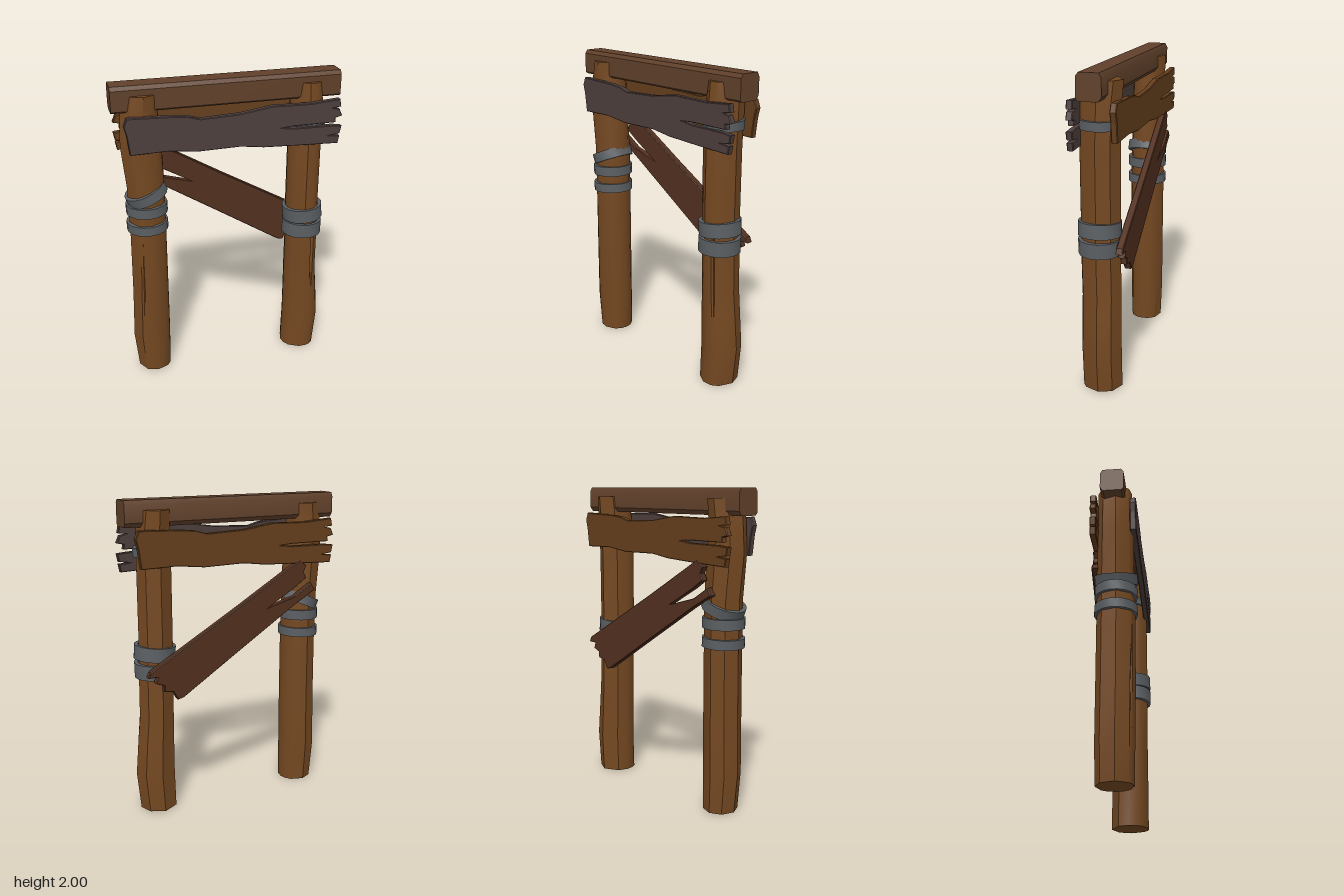
import * as THREE from 'three';
import { toCreasedNormals } from 'three/addons/utils/BufferGeometryUtils.js';

const material = (color, side = THREE.FrontSide) => new THREE.MeshStandardMaterial({ color, side });
const postWood = material(0x744821);
const beamWood = material(0x60402a);
const greyWood = material(0x4d3f3d);
const tanWood = material(0x663f1d);
const redWood = material(0x52301f);
const strapGrey = material(0x5a5f63);

function add(parent, name, geometry, mat) {
  const mesh = new THREE.Mesh(geometry, mat);
  mesh.name = name;
  parent.add(mesh);
  return mesh;
}

// Hewn log lofted through levels [y, xMin, xMax, zMin, zMax, crackDepth].
// Uneven angles leave some edges sharp and others rounded.
function logGeometry(levels, degrees, crackIndex) {
  const n = degrees.length;
  const positions = [];
  const index = [];
  for (const [y, x0, x1, z0, z1, crack] of levels) {
    degrees.forEach((d, i) => {
      const a = THREE.MathUtils.degToRad(d);
      const r = i === crackIndex ? 1 - crack : 1;
      positions.push(
        (x0 + x1) / 2 + Math.cos(a) * r * (x1 - x0) / 2, y,
        (z0 + z1) / 2 + Math.sin(a) * r * (z1 - z0) / 2);
    });
  }
  for (let l = 0; l < levels.length - 1; l++) {
    for (let i = 0; i < n; i++) {
      const a = l * n + i, b = l * n + (i + 1) % n;
      index.push(a, a + n, b, b, a + n, b + n);
    }
  }
  // End caps
  for (const l of [0, levels.length - 1]) {
    const [y, x0, x1, z0, z1] = levels[l];
    const c = positions.length / 3;
    positions.push((x0 + x1) / 2, y, (z0 + z1) / 2);
    for (let i = 0; i < n; i++) {
      const a = l * n + i, b = l * n + (i + 1) % n;
      if (l === 0) index.push(c, a, b);
      else index.push(c, b, a);
    }
  }
  const g = new THREE.BufferGeometry();
  g.setAttribute('position', new THREE.Float32BufferAttribute(positions, 3));
  g.setIndex(index);
  return toCreasedNormals(g, 0.62);
}

// Flat board from an outline in the xy plane
function boardGeometry(points, depth) {
  const shape = new THREE.Shape(points.map(([x, y]) => new THREE.Vector2(x, y)));
  return new THREE.ExtrudeGeometry(shape, {
    depth, bevelEnabled: true, bevelThickness: 0.005, bevelSize: 0.004, bevelOffset: -0.004, bevelSegments: 1,
  });
}

// Strap: a closed rectangular profile turned about y
function strapGeometry(radius, height) {
  const h = height / 2, inner = radius - 0.025;
  const profile = [[inner, -h], [radius, -h], [radius, h], [inner, h], [inner, -h]];
  const g = new THREE.LatheGeometry(profile.map(([x, y]) => new THREE.Vector2(x, y)), 18);
  return toCreasedNormals(g, 0.6);
}

export function createModel() {
  const model = new THREE.Group();
  model.name = 'timberFrame';

  // Posts
  const angles = [0, 24, 48, 88, 118, 124, 130, 175, 222, 265, 310, 335];
  add(model, 'rightPost', logGeometry([
    [0, -0.63, -0.41, -0.115, 0.105, 0],
    [0.25, -0.655, -0.405, -0.12, 0.11, 0.03],
    [0.6, -0.645, -0.405, -0.12, 0.115, 0.08],
    [1.0, -0.64, -0.405, -0.12, 0.115, 0],
    [1.35, -0.645, -0.405, -0.12, 0.11, 0],
    [1.62, -0.672, -0.415, -0.115, 0.11, 0],
    [1.82, -0.66, -0.43, -0.115, 0.105, 0],
    [1.94, -0.635, -0.43, -0.12, 0.1, 0],
  ], angles, 5), postWood);
  const mirrored = [0, 45, 62, 68, 74, 100, 140, 162, 184, 215, 270, 318];
  add(model, 'leftPost', logGeometry([
    [0, 0.41, 0.65, -0.12, 0.13, 0],
    [0.25, 0.415, 0.675, -0.12, 0.13, 0],
    [0.48, 0.415, 0.655, -0.115, 0.13, 0.02],
    [0.62, 0.415, 0.64, -0.115, 0.13, 0.1],
    [0.9, 0.415, 0.635, -0.11, 0.135, 0.12],
    [1.1, 0.41, 0.63, -0.11, 0.135, 0],
    [1.55, 0.41, 0.63, -0.11, 0.135, 0],
    [1.83, 0.42, 0.63, -0.12, 0.125, 0],
    [1.94, 0.425, 0.62, -0.13, 0.115, 0],
  ], mirrored, 3), postWood);

  // Top beam with chamfered edges, let into both posts
  const section = new THREE.Shape([
    [-0.075, 0.0], [-0.06, -0.012], [0.055, -0.012], [0.075, 0.015],
    [0.075, 0.12], [0.06, 0.148], [-0.058, 0.148], [-0.075, 0.125],
  ].map(([x, y]) => new THREE.Vector2(x, y)));
  const beamGeometry = new THREE.ExtrudeGeometry(section, { depth: 1.435, steps: 4, bevelEnabled: false });
  beamGeometry.translate(0, 0, -0.7175).rotateY(Math.PI / 2);
  const beam = add(model, 'topBeam', toCreasedNormals(beamGeometry, 0.5), beamWood);
  beam.position.y = 1.852;
  beam.rotation.y = -0.021;

  // Front and back cross planks: split, ragged boards turned half round from each other
  const ragged = [
    [-0.63, 1.60], [-0.4, 1.605], [-0.22, 1.585], [0.05, 1.59], [0.2, 1.57], [0.42, 1.56], [0.69, 1.55],
    [0.7, 1.6], [0.62, 1.606], [0.7, 1.615], [0.71, 1.665], [0.64, 1.672], [0.4, 1.675], [0.3, 1.685],
    [0.4, 1.69], [0.67, 1.69], [0.665, 1.72], [0.71, 1.73], [0.69, 1.775], [0.64, 1.785], [0.7, 1.79], [0.69, 1.84],
    [0.5, 1.825], [0.25, 1.83], [0.05, 1.8], [-0.2, 1.79], [-0.27, 1.81], [-0.36, 1.82], [-0.64, 1.83],
    [-0.66, 1.78], [-0.645, 1.72],
  ];
  const plankGeometry = boardGeometry(ragged, 0.03);
  for (const [name, mat, turn] of [['frontPlank', greyWood, 0], ['backPlank', tanWood, Math.PI]]) {
    const pivot = new THREE.Group();
    pivot.name = name;
    pivot.rotation.y = turn;
    const plank = add(pivot, name + 'Board', plankGeometry, mat);
    plank.position.z = 0.108;
    plank.rotation.y = -0.018;
    if (turn) plank.position.x = -0.02;
    model.add(pivot);
  }

  // Diagonal brace on the back, split at its upper end
  add(model, 'diagonalBrace', boardGeometry([
    [-0.44, 1.58], [0.0, 1.32], [0.41, 1.085], [0.62, 0.965], [0.635, 0.93], [0.57, 0.93], [0.585, 0.89],
    [0.53, 0.87], [0.53, 0.83], [0.47, 0.82], [0.44, 0.765], [0.4, 0.775], [0.0, 1.03], [-0.41, 1.29], [-0.56, 1.375],
    [-0.53, 1.42], [-0.41, 1.345], [-0.2, 1.285], [-0.41, 1.405], [-0.49, 1.46], [-0.47, 1.5], [-0.49, 1.54],
  ], 0.035), redWood).position.z = -0.148;

  // Straps: [x, y, z, radius, height, tilt]
  const straps = [
    [-0.525, 1.08, -0.002, 0.132, 0.06, 0.03],
    [-0.525, 1.2, -0.002, 0.132, 0.065, 0.02],
    [-0.525, 1.295, -0.002, 0.134, 0.065, 0.4],
    [0.522, 0.94, 0.02, 0.132, 0.095, -0.02],
    [0.522, 1.05, 0.02, 0.132, 0.09, 0.08],
    [0.523, 1.685, 0.01, 0.125, 0.055, 0],
  ];
  for (const [x, y, z, radius, height, tilt] of straps) {
    const strap = add(model, 'strap', strapGeometry(radius, height), strapGrey);
    strap.position.set(x, y, z);
    strap.rotation.z = tilt;
  }
  return model;
}
